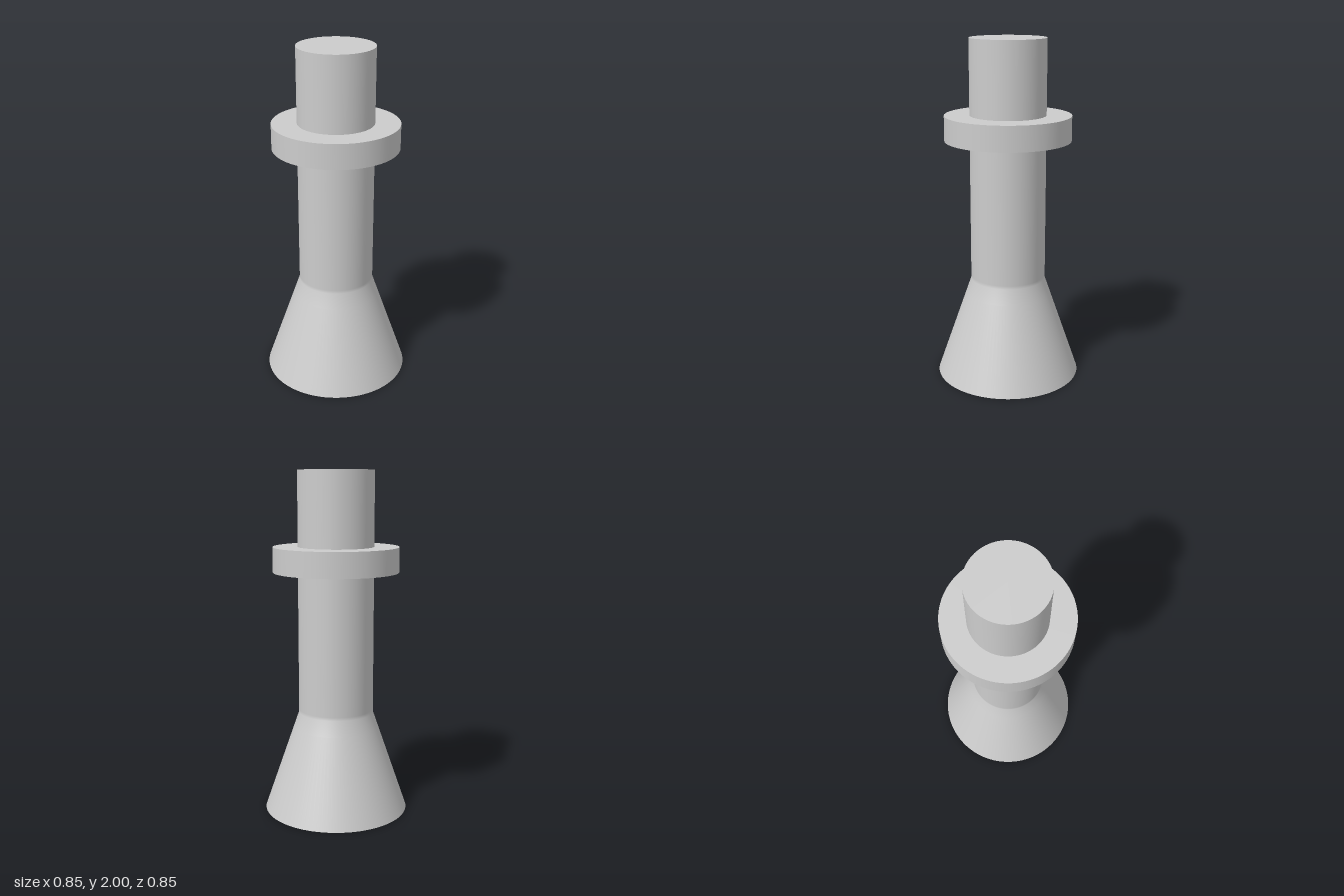
import * as THREE from 'three';

const SIDES = 96;

export function createModel() {
  const group = new THREE.Group();
  const grey = new THREE.MeshStandardMaterial({ color: 0xcccccc });
  grey.name = 'light grey';

  const add = (name, geometry, y = 0) => {
    const mesh = new THREE.Mesh(geometry, grey);
    mesh.name = name;
    mesh.position.y = y;
    group.add(mesh);
  };
  const disc = (radius, faceUp) =>
    new THREE.CircleGeometry(radius, SIDES).rotateX(faceUp ? -Math.PI / 2 : Math.PI / 2);

  // Flared foot running smoothly into the straight shaft
  const profile = [[0.424, 0], [0.251, 0.5], [0.22, 0.59], [0.22, 0.61], [0.22, 2]]
    .map(([r, y]) => new THREE.Vector2(r, y));
  add('flaredShaft', new THREE.LatheGeometry(profile, SIDES));

  // Flat ends of the shaft
  add('shaftTop', disc(0.22, true), 2);
  add('footBottom', disc(0.424, false));

  // Collar around the upper shaft
  add('collar', new THREE.CylinderGeometry(0.365, 0.365, 0.145, SIDES), 1.495);

  return group;
}
